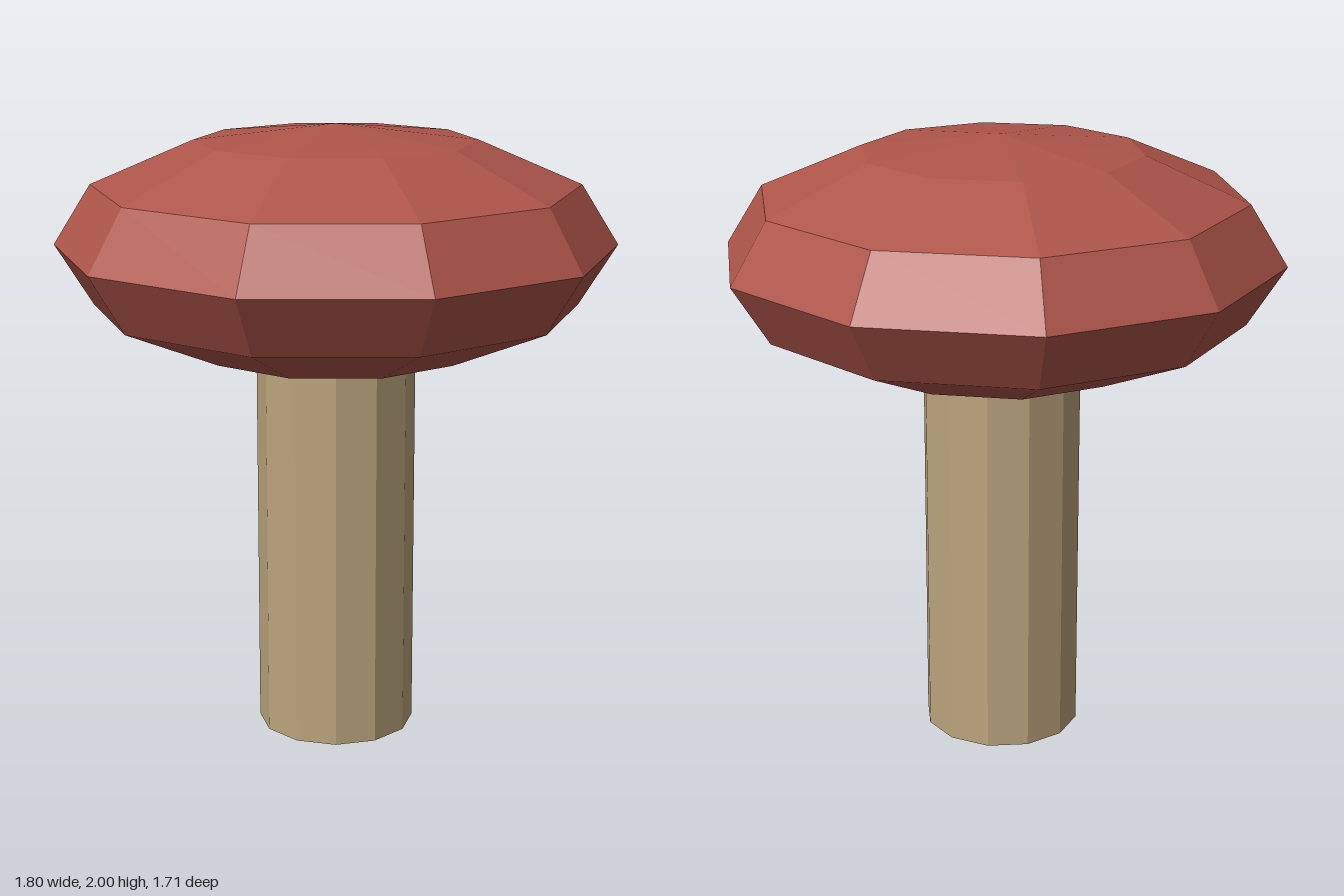
import * as THREE from 'three';

export function createModel() {
  const model = new THREE.Group();
  model.name = 'mushroom';

  const capRed = new THREE.MeshStandardMaterial({ color: 0xae554a });
  capRed.name = 'cap red';
  const stemTan = new THREE.MeshStandardMaterial({ color: 0xbaa47c });
  stemTan.name = 'stem tan';

  // Both parts are faceted, so give every face its own normal
  const addPart = (name, geometry, material, y) => {
    const flat = geometry.toNonIndexed();
    flat.computeVertexNormals();
    const mesh = new THREE.Mesh(flat, material);
    mesh.name = name;
    mesh.position.y = y;
    model.add(mesh);
  };
  for (const m of [capRed, stemTan]) m.flatShading = true;

  // Straight twelve-sided stem, its top buried in the cap
  const stemHeight = 1.4;
  addPart('stem', new THREE.CylinderGeometry(0.257, 0.257, stemHeight, 12), stemTan, stemHeight / 2);

  // Squashed ten-sided ball for the cap
  const capRadius = 0.9, capHalfHeight = 0.385;
  const cap = new THREE.SphereGeometry(capRadius, 10, 6).scale(1, capHalfHeight / capRadius, 1);
  addPart('cap', cap, capRed, 2 - capHalfHeight);

  return model;
}
